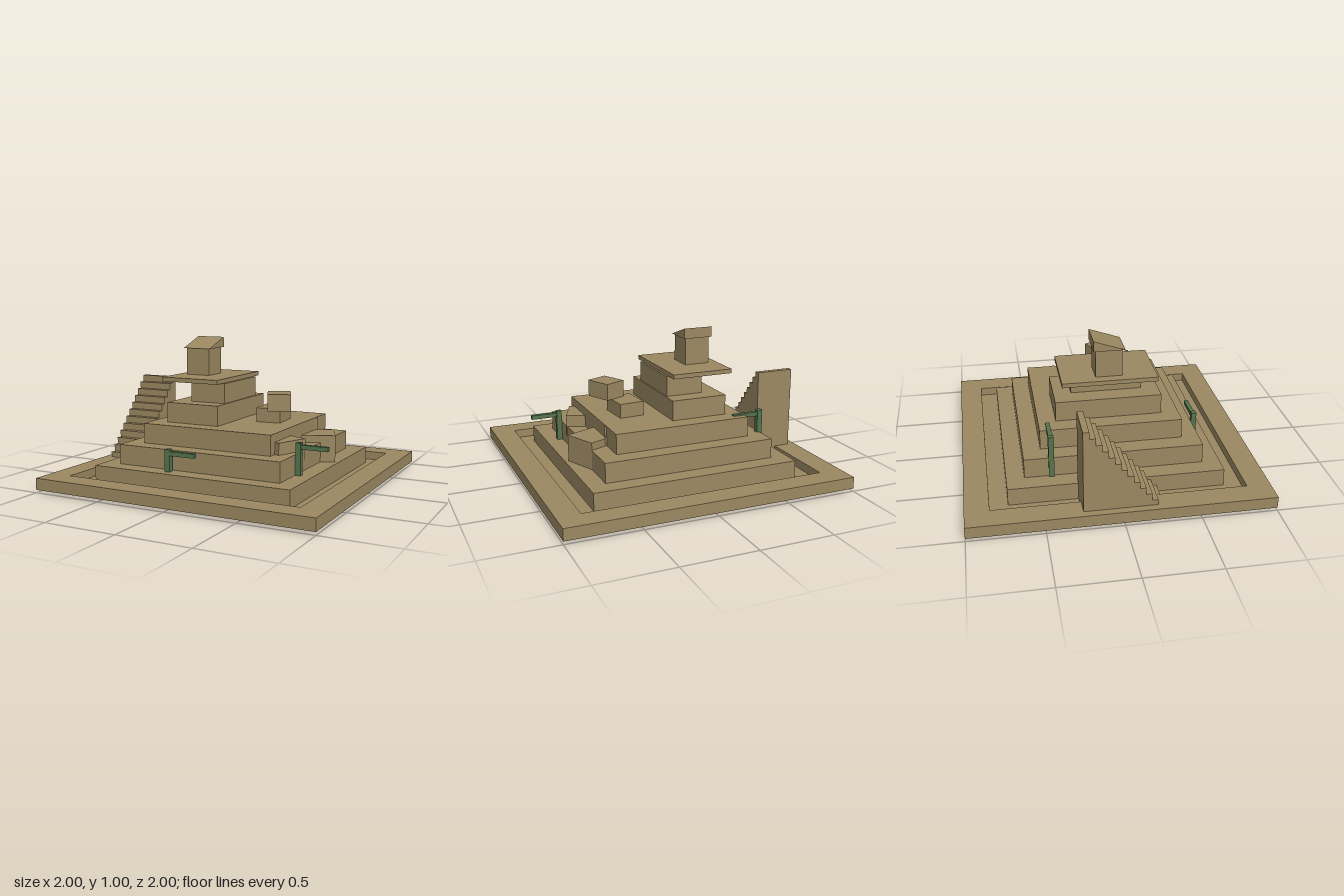
import * as THREE from 'three';

const stone = new THREE.MeshStandardMaterial({ color: 0x9b8861 });
stone.name = 'sandstone';
const green = new THREE.MeshStandardMaterial({ color: 0x55744d });
green.name = 'mossGreen';

export function createModel() {
  const model = new THREE.Group();
  model.name = 'steppedRuin';

  // Box given by its extents on each axis
  function box(name, [x0, x1], [y0, y1], [z0, z1], material = stone, parent = model) {
    const mesh = new THREE.Mesh(new THREE.BoxGeometry(x1 - x0, y1 - y0, z1 - z0), material);
    mesh.position.set((x0 + x1) / 2, (y0 + y1) / 2, (z0 + z1) / 2);
    mesh.name = name;
    parent.add(mesh);
    return mesh;
  }

  // Extruded outline
  function extrude(name, shape, depth) {
    const geometry = new THREE.ExtrudeGeometry(shape, { depth, bevelEnabled: false });
    const mesh = new THREE.Mesh(geometry, stone);
    mesh.name = name;
    model.add(mesh);
    return mesh;
  }

  const square = (Kind, h) => new Kind([[-h, -h], [h, -h], [h, h], [-h, h]].map(p => new THREE.Vector2(...p)));

  // Ground frame with a sunken trench around the pyramid
  const rim = square(THREE.Shape, 1);
  rim.holes.push(square(THREE.Path, 0.84));
  const frame = extrude('groundFrame', rim, 0.08);
  frame.rotation.x = -Math.PI / 2;
  frame.position.y = 0.02;
  box('trenchFloor', [-0.88, 0.88], [0, 0.04], [-0.88, 0.88]);

  // Square pyramid tiers
  [[0.72, 0.04, 0.16], [0.6, 0.16, 0.295], [0.48, 0.295, 0.432]].forEach(([h, y0, y1], i) =>
    box(`pyramidTier${i + 1}`, [-h, h], [y0, y1], [-h, h]));

  // Upper temple
  box('templeLower', [-0.365, 0.03], [0.432, 0.57], [-0.36, 0.36]);
  box('templeUpper', [-0.24, 0.02], [0.57, 0.708], [-0.24, 0.24]);
  box('templeSlab', [-0.43, 0.005], [0.708, 0.738], [-0.32, 0.32]);
  box('tower', [-0.365, -0.185], [0.738, 0.93], [-0.09, 0.09]);

  // Sloping tower roof, high at the back
  const wedge = new THREE.Shape([[-0.105, 0.927], [0.105, 0.927], [0.105, 1]].map(p => new THREE.Vector2(...p)));
  const roof = extrude('towerRoof', wedge, 0.21);
  roof.rotation.y = Math.PI / 2;
  roof.position.x = -0.38;

  // Solid free-standing stair rising towards the back
  const steps = 13, tread = 0.04, rise = 0.0485;
  const outline = new THREE.Shape();
  outline.moveTo(-0.26, 0.04);
  for (let i = 0; i < steps; i++) {
    outline.lineTo(-0.26 + i * tread, 0.04 + (i + 1) * rise);
    outline.lineTo(-0.26 + (i + 1) * tread, 0.04 + (i + 1) * rise);
  }
  outline.lineTo(0.26, 0.04);
  outline.closePath();
  const stair = extrude('stair', outline, 0.27);
  stair.rotation.y = Math.PI / 2;
  stair.position.x = -0.95;

  // Tumbled blocks: name, centre x and z, width, depth, bottom, top, turn
  [
    ['fallenBlockBack', 0.537, -0.182, 0.24, 0.24, 0.16, 0.345, 0.408],
    ['fallenBlockFront', 0.449, 0.275, 0.24, 0.24, 0.235, 0.375, -0.39],
    ['wedgedBlock', 0.392, -0.24, 0.16, 0.16, 0.31, 0.43, -0.3],
    ['looseBlockLower', 0.256, -0.052, 0.175, 0.225, 0.432, 0.53, 0.08],
    ['looseBlockUpper', 0.351, 0.068, 0.157, 0.188, 0.53, 0.645, 0.43],
  ].forEach(([name, x, z, w, d, y0, y1, turn]) => {
    const mesh = box(name, [x - w / 2, x + w / 2], [y0, y1], [z - d / 2, z + d / 2]);
    mesh.rotation.y = turn;
  });

  // Green posts with a side arm: left edge, centre z, post top, arm bottom
  [
    ['frontPost', -0.2, 0.645, 0.31, 0.268],
    ['sidePost', 0.602, 0.35, 0.375, 0.333],
    ['backPost', -0.615, -0.42, 0.455, 0.413],
  ].forEach(([name, x, z, top, arm]) => {
    const group = new THREE.Group();
    group.name = name;
    box('post', [x, x + 0.037], [0.16, top], [z - 0.018, z + 0.018], green, group);
    box('arm', [x + 0.03, x + 0.22], [arm, arm + 0.029], [z - 0.014, z + 0.014], green, group);
    model.add(group);
  });

  return model;
}
